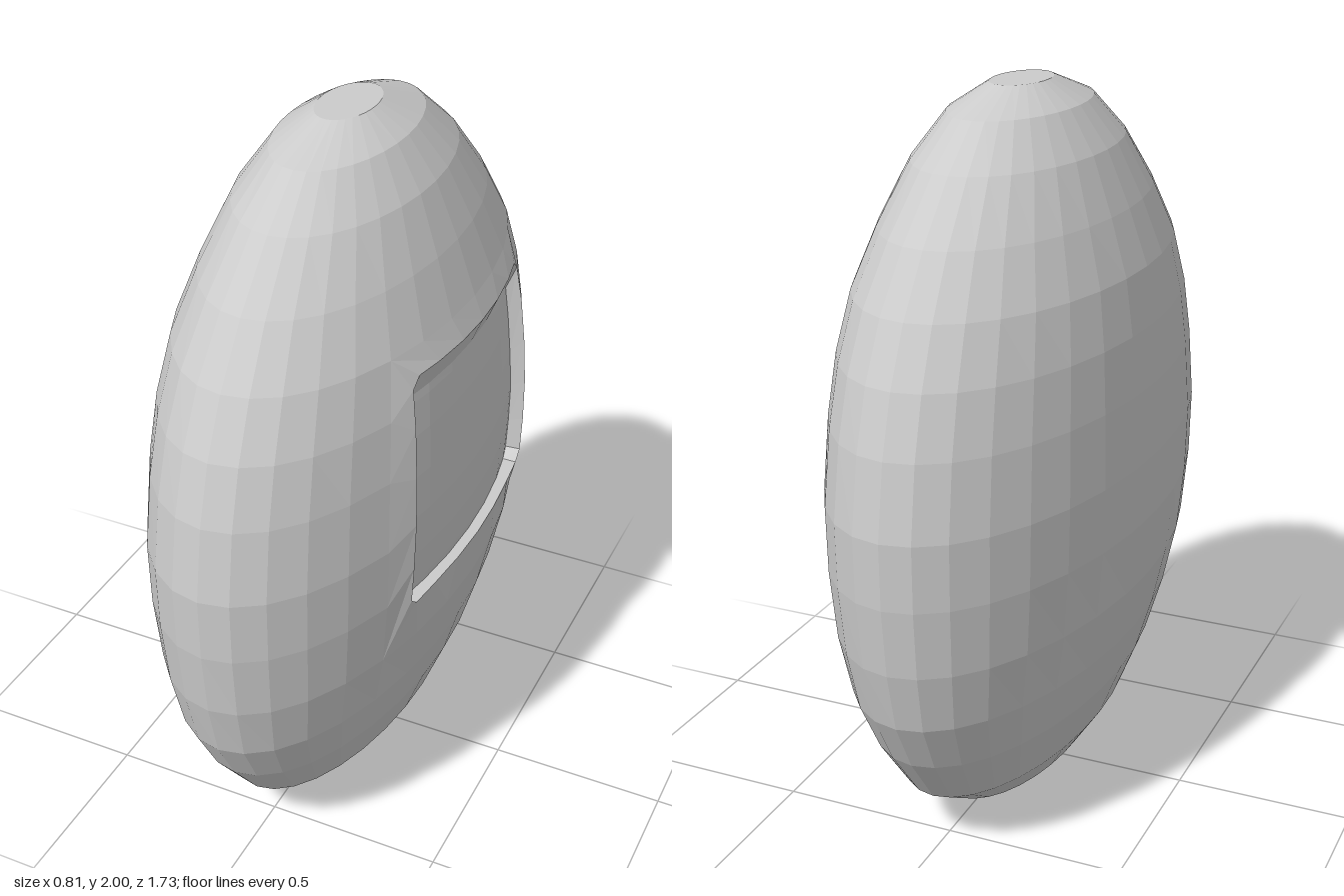
import * as THREE from 'three';

// Body rings: height, half width in x, half depth in z
const RINGS = [
  [0, 0.09, 0.2], [0.06, 0.175, 0.42], [0.17, 0.248, 0.6], [0.33, 0.31, 0.72], [0.48, 0.352, 0.8],
  [0.65, 0.388, 0.84], [0.84, 0.406, 0.86], [1.02, 0.41, 0.863], [1.22, 0.4, 0.83], [1.38, 0.386, 0.78],
  [1.53, 0.36, 0.705], [1.68, 0.307, 0.595], [1.83, 0.243, 0.45], [1.94, 0.165, 0.31], [2, 0.075, 0.13],
];
const SEGMENTS = 32;
// Block of body cells replaced by the window: rings LOW..HIGH, segments -SIDE..SIDE
const LOW = 5, HIGH = 10, SIDE = 3;
const SILL = 0.79, LINTEL = 1.465, PANEL_TOP = 1.39;

const ringPoint = (i, j) => {
  const a = (j / SEGMENTS) * Math.PI * 2;
  return [RINGS[i][1] * Math.cos(a), RINGS[i][0], RINGS[i][2] * Math.sin(a)];
};

// x of the body surface on the +x side
function surfaceX(y, z) {
  let i = 0;
  while (i < RINGS.length - 2 && RINGS[i + 1][0] < y) i++;
  const [a, b] = [RINGS[i], RINGS[i + 1]];
  const t = (y - a[0]) / (b[0] - a[0]);
  const rx = a[1] + (b[1] - a[1]) * t, rz = a[2] + (b[2] - a[2]) * t;
  return rx * Math.sqrt(1 - (z / rz) ** 2);
}

// Point of the window outline or panel; u, v run from -1 to 1, the sides taper upward
function windowPoint(u, v, top, offset) {
  const y = SILL + ((v + 1) / 2) * (top - SILL);
  const z = u * (0.397 - 0.045 * ((v + 1) / 2) ** 2);
  return [surfaceX(y, z) + offset, y, z];
}

// Collects quads into a flat-shaded mesh
function quadMesh(name, build) {
  const pos = [];
  build((a, b, c, d) => pos.push(...a, ...b, ...c, ...a, ...c, ...d));
  const geometry = new THREE.BufferGeometry();
  geometry.setAttribute('position', new THREE.Float32BufferAttribute(pos, 3));
  geometry.computeVertexNormals();
  const mesh = new THREE.Mesh(geometry, new THREE.MeshStandardMaterial({ color: 0xcccccc, flatShading: true }));
  mesh.name = name;
  return mesh;
}

function strip(quad, from, to) {
  from.forEach((p, k) => {
    const n = (k + 1) % from.length;
    quad(p, to[k], to[n], from[n]);
  });
}

// Closed loop round the window; every corner is doubled so that it can be bevelled
function windowLoop() {
  const c = 0.92, rows = HIGH - LOW, loop = [];
  const uOf = (j) => Math.max(-c, Math.min(c, j / SIDE));
  const vOf = (i) => Math.max(-c, Math.min(c, ((i - LOW) / rows) * 2 - 1));
  for (let j = -SIDE; j <= SIDE; j++) loop.push({ i: LOW, j, u: uOf(j), v: -1 });
  for (let i = LOW; i <= HIGH; i++) loop.push({ i, j: SIDE, u: 1, v: vOf(i) });
  for (let j = SIDE; j >= -SIDE; j--) loop.push({ i: HIGH, j, u: uOf(j), v: 1 });
  for (let i = HIGH; i >= LOW; i--) loop.push({ i, j: -SIDE, u: -1, v: vOf(i) });
  return loop;
}

export function createModel() {
  const model = new THREE.Group();
  model.name = 'eggWithWindow';

  // Faceted flattened egg with flat ends
  model.add(quadMesh('body', (quad) => {
    for (let i = 0; i < RINGS.length - 1; i++) {
      for (let j = -SEGMENTS / 2; j < SEGMENTS / 2; j++) {
        if (i >= LOW && i < HIGH && j >= -SIDE && j < SIDE) continue;
        quad(ringPoint(i, j), ringPoint(i + 1, j), ringPoint(i + 1, j + 1), ringPoint(i, j + 1));
      }
    }
    const last = RINGS.length - 1;
    for (let j = 0; j < SEGMENTS; j++) {
      quad([0, 0, 0], ringPoint(0, j), ringPoint(0, j + 1), [0, 0, 0]);
      quad([0, 2, 0], ringPoint(last, j + 1), ringPoint(last, j), [0, 2, 0]);
    }
  }));

  // Surround with a slightly raised lip, then the walls of the recess
  const loop = windowLoop();
  const edge = loop.map(({ i, j }) => ringPoint(i, j));
  const lip = loop.map(({ u, v }) => windowPoint(u, v, LINTEL, 0.014 * Math.max(u ** 4, v)));
  const foot = loop.map(({ u, v }) => windowPoint(u, v, PANEL_TOP, -0.03));
  model.add(quadMesh('windowSurround', (quad) => strip(quad, edge, lip)));
  model.add(quadMesh('recessWalls', (quad) => strip(quad, lip, foot)));

  // Sunken curved panel, built as bands between the two sides
  const panel = quadMesh('windowPanel', (quad) => {
    const us = [-1, -0.92, -0.667, -0.333, 0, 0.333, 0.667, 0.92, 1];
    const vs = [-1, -0.92, -0.6, -0.2, 0.2, 0.6, 0.92, 1];
    const at = (a, b) => {
      const corner = Math.abs(us[a]) === 1 && Math.abs(vs[b]) === 1;
      return windowPoint(us[a] * (corner ? 0.96 : 1), vs[b] * (corner ? 0.96 : 1), PANEL_TOP, -0.03);
    };
    for (let a = 0; a < us.length - 1; a++) {
      for (let b = 0; b < vs.length - 1; b++) quad(at(a, b), at(a, b + 1), at(a + 1, b + 1), at(a + 1, b));
    }
  });
  model.add(panel);
  return model;
}
